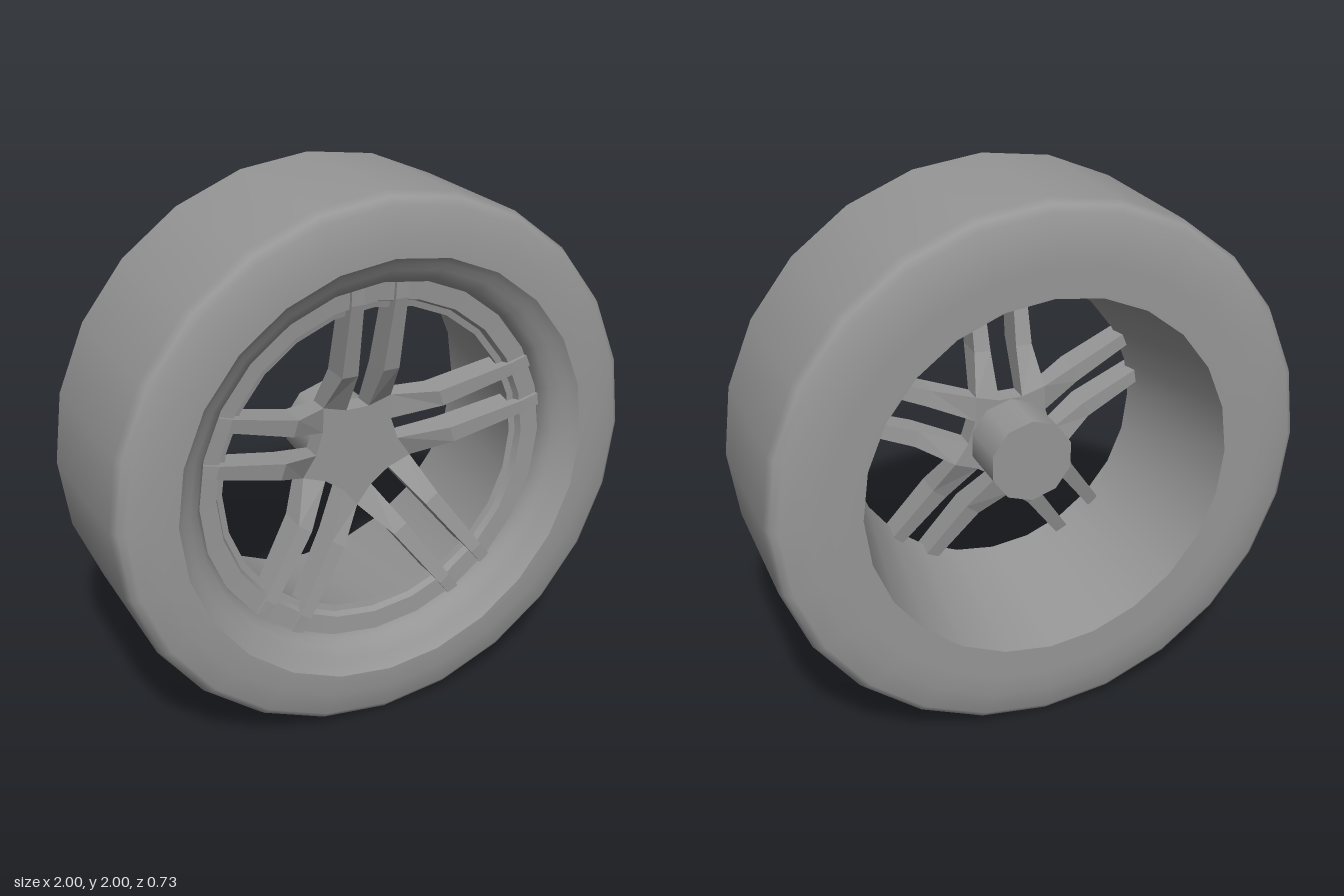
import * as THREE from 'three';

const SEGMENTS = 24;

function grey(flat = false) {
  return new THREE.MeshStandardMaterial({ color: 0x969696, flatShading: flat });
}

// Ring turned round the z axis from [radius, z] points
function ring(name, profile) {
  const geo = new THREE.LatheGeometry(profile.map(([r, z]) => new THREE.Vector2(r, z)), SEGMENTS);
  geo.rotateX(Math.PI / 2);
  const mesh = new THREE.Mesh(geo, grey());
  mesh.name = name;
  return mesh;
}

// Stations along a spoke, hub to rim: inner edge [x, y], outer edge [x, y], front z, back z
const STATIONS = [
  { inner: [0.045, 0.12], outer: [0.09, 0.124], front: 0.085, back: 0.02 },
  { inner: [0.045, 0.16], outer: [0.135, 0.186], front: 0.1, back: 0.02 },
  { inner: [0.05, 0.33], outer: [0.112, 0.33], front: 0.2, back: 0.09 },
  { inner: [0.06, 0.61], outer: [0.108, 0.61], front: 0.26, back: 0.16 },
  { inner: [0.062, 0.68], outer: [0.108, 0.67], front: 0.262, back: 0.18 },
];

// One bent, tapering bar; side is +1 or -1 within its pair
function spoke(side) {
  const steps = STATIONS.length - 1;
  const geo = new THREE.BoxGeometry(1, 1, 1, 1, steps, 1);
  const pos = geo.attributes.position;
  for (let i = 0; i < pos.count; i++) {
    const s = STATIONS[Math.round((pos.getY(i) + 0.5) * steps)];
    const [x, y] = pos.getX(i) * side > 0 ? s.outer : s.inner;
    pos.setXYZ(i, x * side, y, pos.getZ(i) > 0 ? s.front : s.back);
  }
  geo.computeVertexNormals();
  const mesh = new THREE.Mesh(geo, grey(true));
  mesh.name = side > 0 ? 'leftSpoke' : 'rightSpoke';
  return mesh;
}

export function createModel() {
  const wheel = new THREE.Group();
  wheel.name = 'wheel';

  // Tyre: back sidewall, rounded shoulder, tread, front sidewall
  const shoulder = [[0.79, 0.367], [0.87, 0.364], [0.96, 0.344], [0.985, 0.325], [1, 0.29]];
  const back = shoulder.map(([r, z]) => [r, -z]);
  wheel.add(ring('tyre', [[0.68, -0.367], ...back, ...shoulder.slice().reverse()]));

  // Rim: stepped lip, flat seat for the spokes, small step, tapering barrel
  wheel.add(ring('rimLip', [[0.79, 0.367], [0.765, 0.345], [0.74, 0.333], [0.705, 0.307], [0.685, 0.28], [0.68, 0.25]]));
  wheel.add(ring('rimSeat', [[0.68, 0.25], [0.61, 0.245]]));
  wheel.add(ring('rimStep', [[0.61, 0.245], [0.6, 0.22]]));
  wheel.add(ring('rimEdge', [[0.6, 0.22], [0.577, 0.215]]));
  wheel.add(ring('rimBarrel', [[0.577, 0.215], [0.68, -0.367]]));

  // Five pairs of spokes and the star-shaped hub face between them
  const star = new THREE.Shape();
  for (let k = 0; k < 5; k++) {
    const turn = (k * Math.PI * 2) / 5;
    const pair = new THREE.Group();
    pair.name = 'spokePair';
    pair.add(spoke(1), spoke(-1));
    pair.rotation.z = turn;
    wheel.add(pair);

    const corners = [[0.045, 0.16], [-0.045, 0.16], [-0.135, 0.186]];
    corners.forEach(([x, y], i) => {
      const px = x * Math.cos(turn) - y * Math.sin(turn);
      const py = x * Math.sin(turn) + y * Math.cos(turn);
      if (k === 0 && i === 0) star.moveTo(px, py);
      else star.lineTo(px, py);
    });
  }
  star.closePath();
  const hubGeo = new THREE.ExtrudeGeometry(star, { depth: 0.08, bevelEnabled: false });
  hubGeo.translate(0, 0, 0.02);
  const hubFace = new THREE.Mesh(hubGeo, grey(true));
  hubFace.name = 'hubFace';
  wheel.add(hubFace);

  // Axle boss behind the hub
  const bossGeo = new THREE.CylinderGeometry(0.158, 0.158, 0.25, 10);
  bossGeo.rotateX(Math.PI / 2);
  const boss = new THREE.Mesh(bossGeo, grey());
  boss.name = 'axleBoss';
  boss.position.z = -0.06;
  wheel.add(boss);

  wheel.position.y = 1;
  const model = new THREE.Group();
  model.name = 'wheelModel';
  model.add(wheel);
  return model;
}
